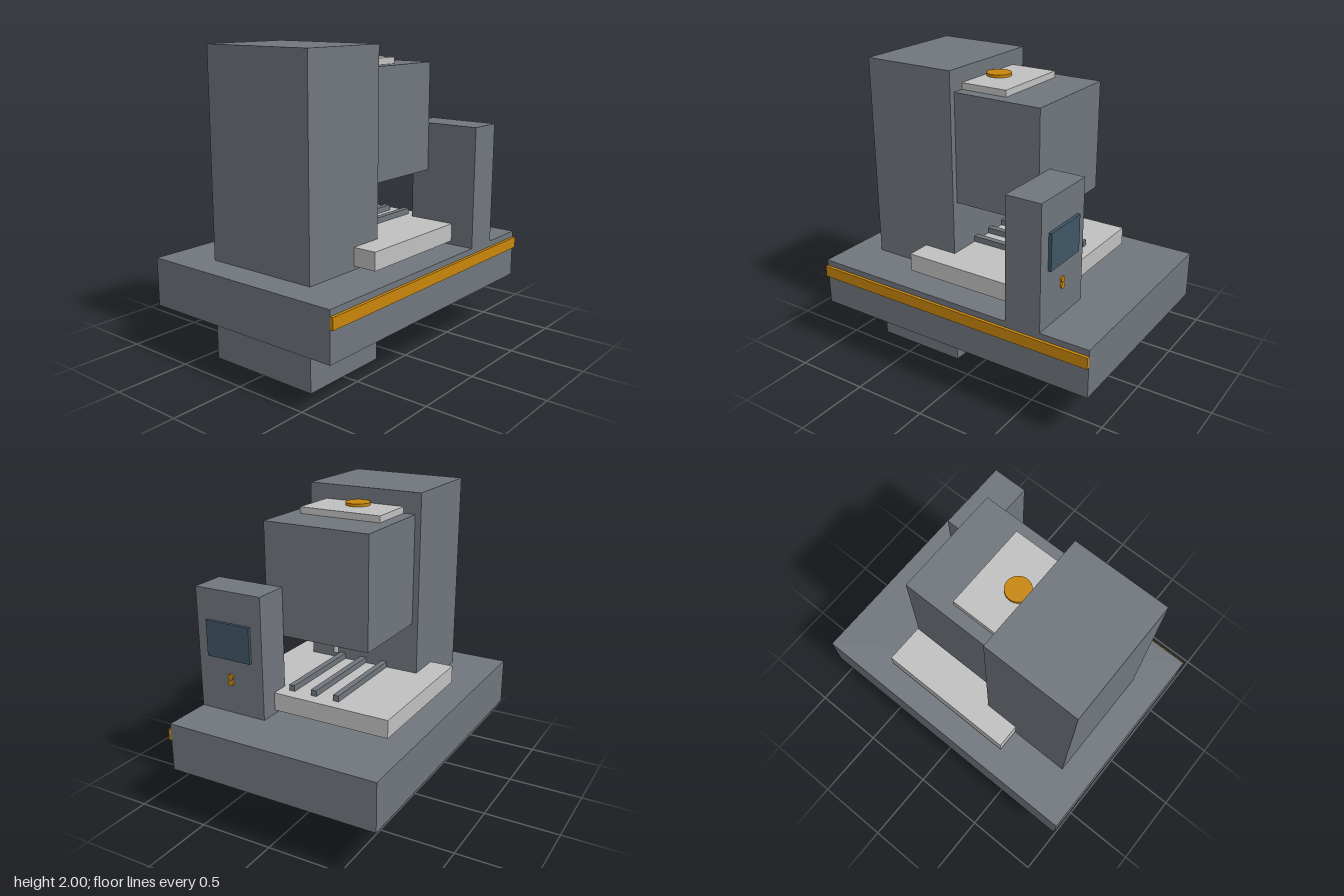
import * as THREE from 'three';

const material = (name, color) => {
  const m = new THREE.MeshStandardMaterial({ color });
  m.name = name;
  return m;
};

export function createModel() {
  const group = new THREE.Group();
  group.name = 'millingMachine';

  const grey = material('machine grey', 0x70767d);
  const silver = material('light steel', 0xc0c0c0);
  const amber = material('amber', 0xc8860a);
  const glass = material('screen blue', 0x3f5666);

  const add = (name, geometry, mat, x, y, z) => {
    const mesh = new THREE.Mesh(geometry, mat);
    mesh.name = name;
    mesh.position.set(x, y, z);
    group.add(mesh);
    return mesh;
  };

  // Box given by its limits on each axis
  const box = (name, mat, [x0, x1], [y0, y1], [z0, z1]) =>
    add(name, new THREE.BoxGeometry(x1 - x0, y1 - y0, z1 - z0), mat,
      (x0 + x1) / 2, (y0 + y1) / 2, (z0 + z1) / 2);

  // Upright cylinder between two heights
  const disc = (name, mat, r, x, [y0, y1], z, sides = 32) =>
    add(name, new THREE.CylinderGeometry(r, r, y1 - y0, sides), mat, x, (y0 + y1) / 2, z);

  // Bed with its front stripe, and the column passing through it
  box('bed', grey, [-1, 1], [0.342, 0.66], [-0.73, 0.71]);
  box('frontStripe', amber, [-1, 1], [0.545, 0.62], [0.71, 0.73]);
  box('column', grey, [-0.8, -0.165], [0, 2], [-0.41, 0.39]);

  // Spindle head, its cover plate and cap
  box('spindleHead', grey, [-0.165, 0.44], [1.145, 1.862], [-0.37, 0.35]);
  box('headCover', silver, [-0.18, 0.155], [1.862, 1.904], [-0.29, 0.27]);
  disc('motorCap', amber, 0.08, -0.083, [1.904, 1.922], -0.01);

  // Spindle collar and cutting tool
  disc('spindleCollar', amber, 0.08, 0.2, [1.105, 1.145], -0.01);
  disc('cuttingTool', silver, 0.016, 0.2, [1.003, 1.105], -0.01, 16);

  // Work table with three clamping rails
  box('workTable', silver, [-0.4, 0.56], [0.684, 0.803], [-0.57, 0.55]);
  for (const z of [-0.17, -0.01, 0.15]) {
    box('tableRail', grey, [-0.32, 0.48], [0.803, 0.842], [z - 0.02, z + 0.02]);
  }

  // Control console with screen and two buttons on its left side
  box('controlConsole', grey, [0.44, 0.677], [0.66, 1.462], [0.23, 0.71]);
  box('consoleScreen', glass, [0.677, 0.697], [1.025, 1.261], [0.31, 0.63]);
  for (const y of [0.905, 0.865]) {
    const button = add('consoleButton', new THREE.CylinderGeometry(0.02, 0.02, 0.012, 20), amber, 0.682, y, 0.47);
    button.rotation.z = -Math.PI / 2;
  }

  return group;
}
